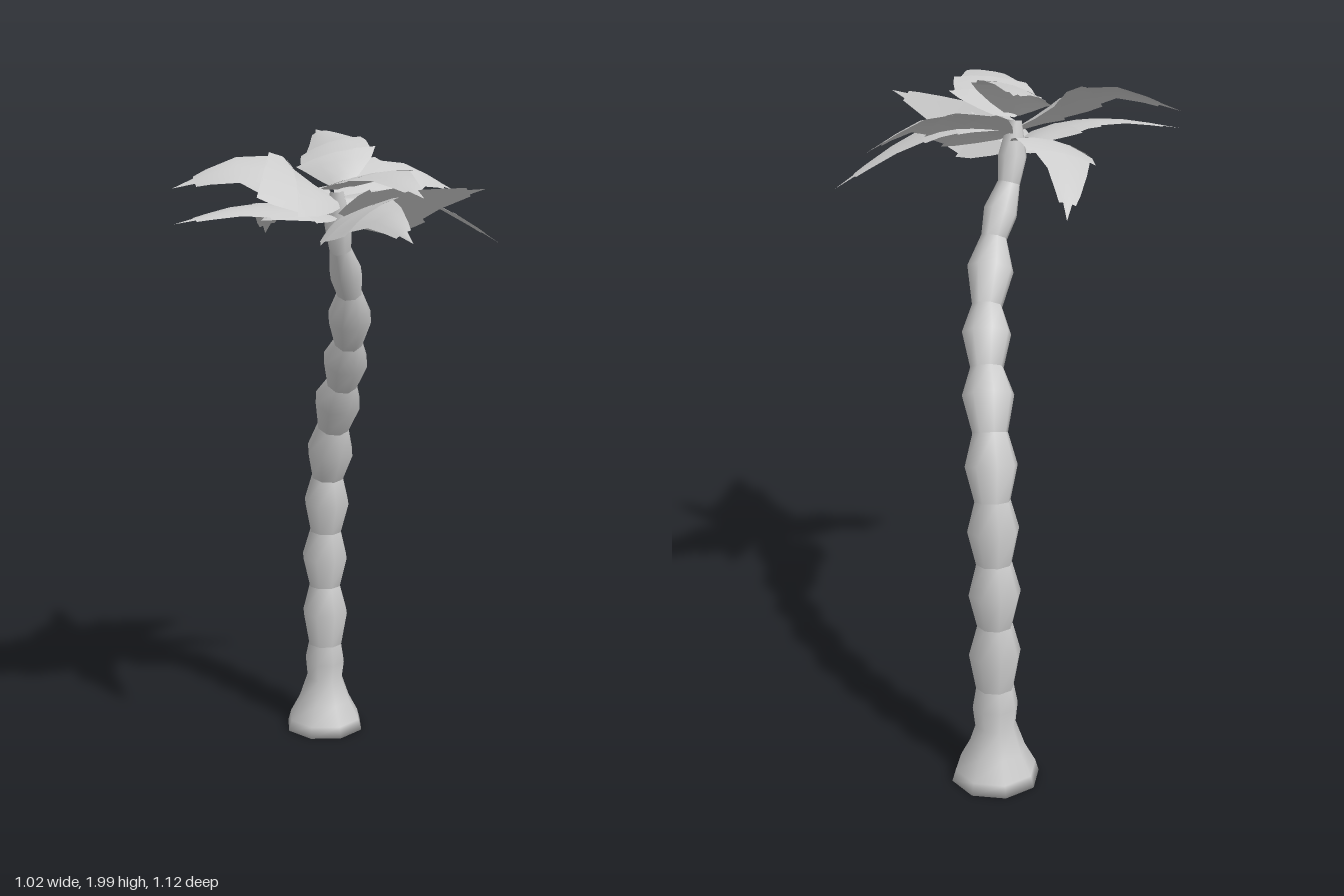
import * as THREE from 'three';

const V = (p) => new THREE.Vector3(...p);
const UP = new THREE.Vector3(0, 1, 0);

function mesh(name, positions, index, material) {
  const geo = new THREE.BufferGeometry();
  geo.setAttribute('position', new THREE.Float32BufferAttribute(positions, 3));
  geo.setIndex(index);
  geo.computeVertexNormals();
  const m = new THREE.Mesh(geo, material);
  m.name = name;
  return m;
}

// Trunk rings: x, y, z, radius (the first closes the underside)
const RINGS = [
  [0.165, 0.005, -0.43, 0], [0.165, 0.005, -0.43, 0.13], [0.165, 0.04, -0.43, 0.12],
  [0.165, 0.1, -0.43, 0.088], [0.165, 0.18, -0.43, 0.06], [0.165, 0.24, -0.428, 0.067],
  [0.165, 0.3, -0.425, 0.056],
  [0.165, 0.41, -0.425, 0.076], [0.165, 0.5, -0.427, 0.052],
  [0.165, 0.6, -0.427, 0.076], [0.165, 0.69, -0.42, 0.052],
  [0.165, 0.79, -0.412, 0.075], [0.165, 0.875, -0.405, 0.052],
  [0.162, 0.97, -0.378, 0.076], [0.157, 1.055, -0.345, 0.051],
  [0.152, 1.15, -0.3, 0.075], [0.145, 1.215, -0.255, 0.048],
  [0.134, 1.3, -0.205, 0.071], [0.122, 1.365, -0.16, 0.044],
  [0.098, 1.455, -0.1, 0.068], [0.078, 1.535, -0.06, 0.038],
  [0.052, 1.6, -0.03, 0.05], [0.02, 1.675, 0, 0.033],
  [0.005, 1.75, 0.018, 0.042], [-0.005, 1.85, 0.03, 0.02],
];
const FOOT = 6;
const SIDES = 8;

// One swept trunk segment covering rings a..b, each ring square to the trunk path
function segment(a, b, material) {
  const pos = [], index = [];
  for (let i = a; i <= b; i++) {
    const c = V(RINGS[i]);
    const dir = V(RINGS[Math.min(i + 1, RINGS.length - 1)]).sub(V(RINGS[Math.max(i - 1, 0)])).normalize();
    const turn = new THREE.Quaternion().setFromUnitVectors(UP, dir);
    for (let k = 0; k < SIDES; k++) {
      const t = (k / SIDES) * Math.PI * 2;
      const p = new THREE.Vector3(Math.cos(t), 0, Math.sin(t)).multiplyScalar(RINGS[i][3]);
      pos.push(...p.applyQuaternion(turn).add(c).toArray());
      if (i === b) continue;
      const r = (i - a) * SIDES, n = (k + 1) % SIDES;
      index.push(r + k, r + SIDES + k, r + n, r + n, r + SIDES + k, r + SIDES + n);
    }
  }
  return mesh('trunkSegment', pos, index, material);
}

// Half-width along a frond; where t steps back the edge forms a torn barb
const BARBS = [
  [0, 0.2], [0.1, 0.55], [0.22, 0.9], [0.32, 1.07], [0.3, 0.94], [0.43, 0.9], [0.54, 0.83],
  [0.52, 0.7], [0.7, 0.46], [0.84, 0.28], [0.9, 0.19], [0.88, 0.12], [1, 0],
];

// Frond: spine through points, width, roll (positive lifts its own right edge), fold of both edges
function frond({ name, path, width, roll = 0, fold = 0.15 }, material) {
  const curve = new THREE.CatmullRomCurve3(path.map(V));
  const pos = [], index = [];
  BARBS.forEach(([t, w], i) => {
    const spineT = i && t < BARBS[i - 1][0] ? BARBS[i - 1][0] : t;
    for (const u of [-1, -0.5, 0, 0.5, 1]) {
      // the spine always advances; only the edges step back
      const at = THREE.MathUtils.lerp(spineT, t, Math.abs(u));
      const d = curve.getTangent(at);
      const s = d.clone().cross(UP).normalize().applyAxisAngle(d, -roll);
      const n = s.clone().cross(d);
      const p = curve.getPoint(at).addScaledVector(s, u * w * width)
        .addScaledVector(n, -fold * u * u * w * width);
      pos.push(...p.toArray());
    }
    if (i === 0) return;
    for (let k = 0; k < 4; k++) {
      const a = (i - 1) * 5 + k, b = a + 5;
      index.push(a, a + 1, b, a + 1, b + 1, b);
    }
  });
  return mesh(name, pos, index, material);
}

const FRONDS = [
  { name: 'frontUpperFrond', width: 0.13, roll: -0.12, fold: 0.1, path: [[0.02, 1.86, 0.04], [0.015, 1.91, 0.18], [0.005, 1.93, 0.34], [0, 1.89, 0.56]] },
  { name: 'frontLowerFrond', width: 0.12, roll: -0.5, path: [[0, 1.77, 0.03], [-0.02, 1.8, 0.18], [-0.02, 1.825, 0.34], [-0.02, 1.77, 0.54]] },
  { name: 'leftLowFrond', width: 0.1, fold: 0.06, path: [[0.01, 1.83, 0.03], [0.17, 1.84, 0.06], [0.32, 1.785, 0.07], [0.51, 1.67, 0.07]] },
  { name: 'leftUpperFrond', width: 0.135, roll: -0.5, path: [[0.02, 1.81, 0.02], [0.15, 1.86, -0.03], [0.28, 1.88, -0.06], [0.45, 1.81, -0.11]] },
  { name: 'rightUpperFrond', width: 0.145, roll: 0.45, path: [[-0.01, 1.82, 0.05], [-0.15, 1.89, 0.06], [-0.28, 1.93, 0.01], [-0.47, 1.87, -0.06]] },
  { name: 'rightLowFrond', width: 0.11, roll: 0.12, path: [[-0.02, 1.78, 0.03], [-0.17, 1.82, 0.09], [-0.32, 1.825, 0.085], [-0.515, 1.79, 0.07]] },
  { name: 'backLowFrond', width: 0.125, roll: 0.3, path: [[-0.01, 1.79, 0.02], [-0.08, 1.82, -0.12], [-0.085, 1.78, -0.25], [-0.04, 1.67, -0.415]] },
  { name: 'backUpperFrond', width: 0.11, roll: 0.3, path: [[0, 1.865, 0.05], [0.015, 1.955, -0.03], [0.04, 1.98, -0.14], [0.08, 1.99, -0.305]] },
  { name: 'frontLeftFrond', width: 0.09, roll: 0.85, fold: 0, path: [[0, 1.77, 0.04], [0.09, 1.8, 0.16], [0.17, 1.84, 0.26], [0.285, 1.88, 0.38]] },
];

export function createModel() {
  const model = new THREE.Group();
  model.name = 'palmTree';
  const bark = new THREE.MeshStandardMaterial({ color: 0xcccccc });
  const leaf = new THREE.MeshStandardMaterial({ color: 0xcccccc, side: THREE.DoubleSide });

  // Trunk: flared foot, then bulging segments
  const trunk = new THREE.Group();
  trunk.name = 'trunk';
  trunk.add(segment(0, FOOT, bark));
  for (let i = FOOT; i + 2 < RINGS.length; i += 2) trunk.add(segment(i, i + 2, bark));

  // Crown of torn fronds
  const crown = new THREE.Group();
  crown.name = 'crown';
  FRONDS.forEach((f) => crown.add(frond(f, leaf)));

  model.add(trunk, crown);
  return model;
}
